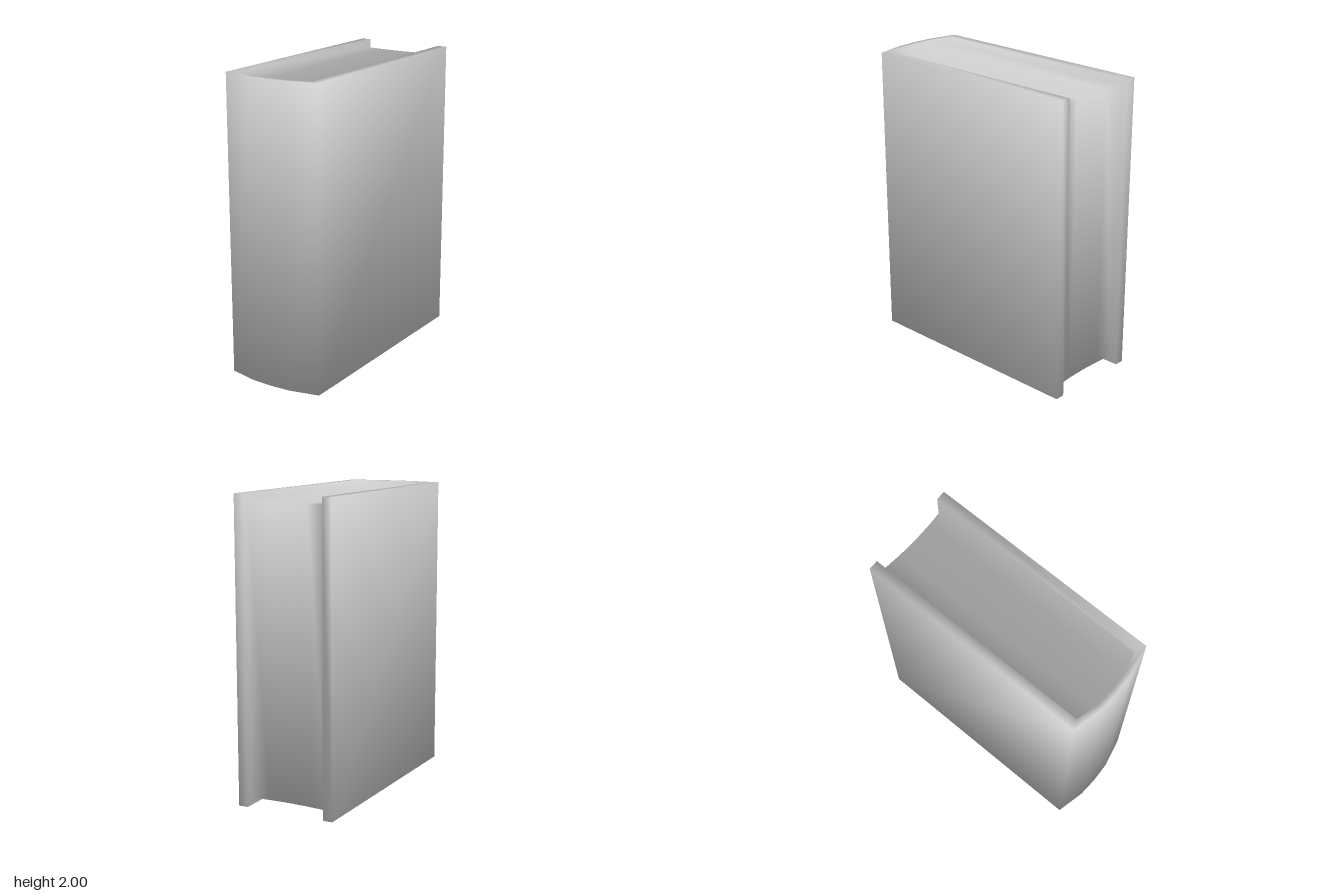
import * as THREE from 'three';

// Half profiles in plan as [x, z], from the back edge to the middle of the spine
const OUTER = [[0.34, -0.817], [0.34, 0.765], [0.14, 0.81], [0, 0.817]];
const INNER = [[0.275, -0.817], [0.275, 0.735], [0.14, 0.771], [0, 0.777]];
const FORE_EDGE = [[0.275, -0.768], [0.14, -0.757], [0, -0.752]];
const HEIGHT = 2, RECESS = 0.05;

const mirrored = (half) => [...half, ...half.slice(0, -1).reverse().map(([x, z]) => [-x, z])];

export function createModel() {
  const book = new THREE.Group();
  book.name = 'book';
  const grey = new THREE.MeshStandardMaterial({ color: 0xcccccc });
  grey.name = 'light grey';

  // Shared points, so the shading runs smoothly from the cover into the pages
  const points = [], normals = [], lookup = new Map();
  const point = (x, y, z) => {
    const key = [x, y, z].join();
    if (!lookup.has(key)) {
      lookup.set(key, points.length);
      points.push(new THREE.Vector3(x, y, z));
      normals.push(new THREE.Vector3());
    }
    return lookup.get(key);
  };
  const ring = (profile, y) => profile.map(([x, z]) => point(x, y, z));
  const quad = (index, corners, flip = false) => {
    const [a, b, c, d] = flip ? [...corners].reverse() : corners;
    index.push(a, b, c, a, c, d);
    const normal = points[c].clone().sub(points[a])
      .cross(points[d].clone().sub(points[b])).normalize();
    for (const i of [a, b, c, d]) normals[i].add(normal);
  };

  const outer = mirrored(OUTER), inner = mirrored(INNER), fore = mirrored(FORE_EDGE);
  const pageOutline = [fore[0], ...inner.slice(1, -1), fore[fore.length - 1]];
  const level = (y, pageY) => ({
    o: ring(outer, y), i: ring(inner, y), p: ring(pageOutline, pageY), f: ring(fore, pageY),
  });
  const top = level(HEIGHT, HEIGHT - RECESS), bottom = level(0, RECESS);
  const coverIndex = [], pagesIndex = [];
  const last = outer.length - 1;

  // Cover: outer walls, then rims and the lips around the recessed pages
  for (let k = 0; k < last; k++) {
    quad(coverIndex, [top.o[k], top.o[k + 1], bottom.o[k + 1], bottom.o[k]]);
    for (const l of [top, bottom]) {
      quad(coverIndex, [l.o[k], l.i[k], l.i[k + 1], l.o[k + 1]], l === bottom);
      quad(coverIndex, [l.i[k], l.p[k], l.p[k + 1], l.i[k + 1]], l === bottom);
    }
  }
  // Back edges of both boards and the strips overhanging the pages
  for (const k of [0, last]) {
    quad(coverIndex, [top.o[k], bottom.o[k], bottom.i[k], top.i[k]], k === last);
    quad(coverIndex, [top.i[k], bottom.i[k], bottom.p[k], top.p[k]], k === last);
  }

  // Pages: top, bottom and hollow fore edge
  for (let k = 0; k < fore.length - 1; k++) {
    quad(pagesIndex, [top.f[k], bottom.f[k], bottom.f[k + 1], top.f[k + 1]]);
    for (const l of [top, bottom]) {
      quad(pagesIndex, [l.f[k], l.f[k + 1], l.p[k + 2], l.p[k + 1]], l === bottom);
    }
  }

  const position = new THREE.Float32BufferAttribute(points.flatMap((v) => v.toArray()), 3);
  const normal = new THREE.Float32BufferAttribute(
    normals.flatMap((v) => v.normalize().toArray()), 3);
  for (const [name, index] of [['cover', coverIndex], ['pages', pagesIndex]]) {
    const geometry = new THREE.BufferGeometry();
    geometry.setAttribute('position', position);
    geometry.setAttribute('normal', normal);
    geometry.setIndex(index);
    const mesh = new THREE.Mesh(geometry, grey);
    mesh.name = name;
    book.add(mesh);
  }
  return book;
}
